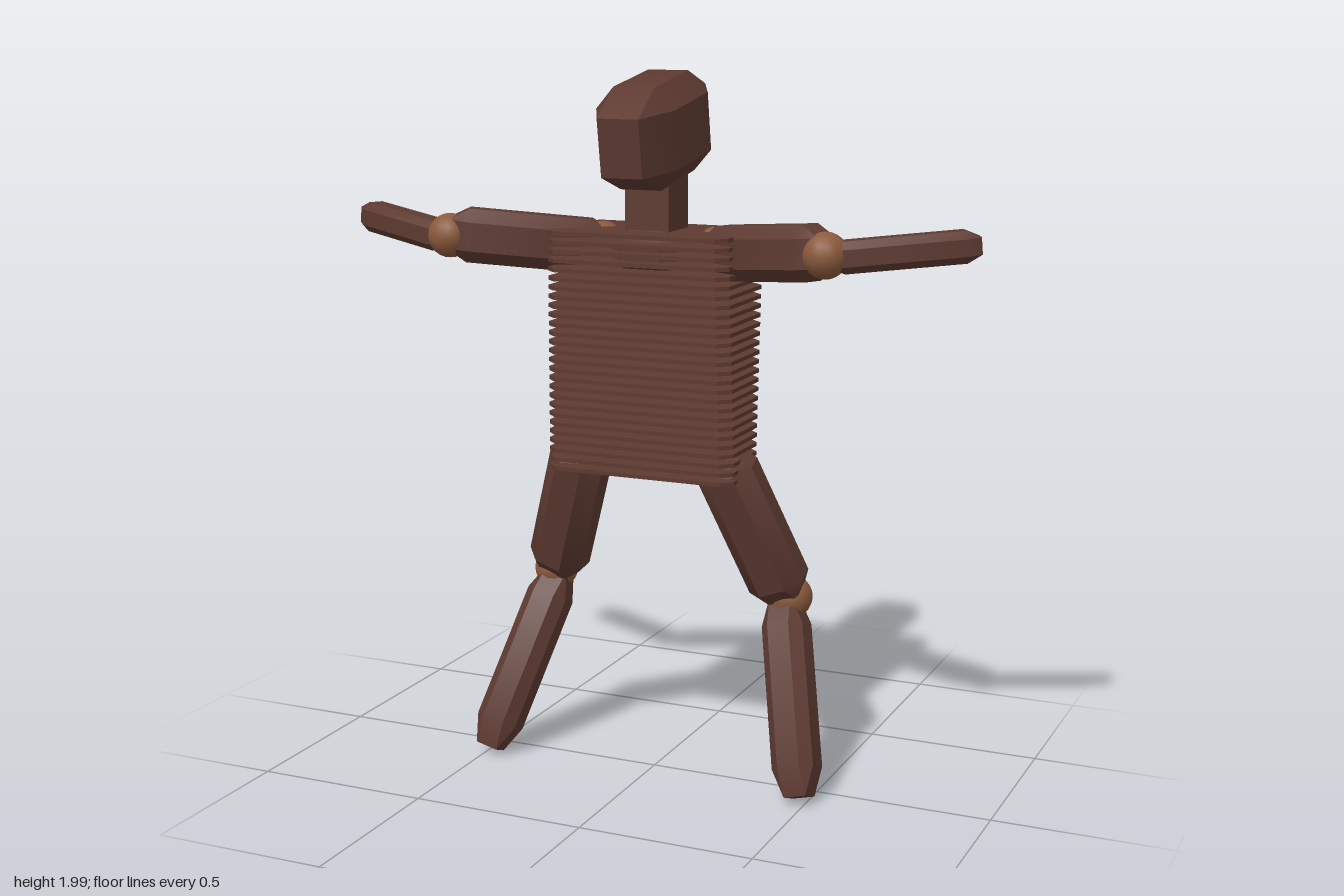
import * as THREE from 'three';
import { ConvexGeometry } from 'three/addons/geometries/ConvexGeometry.js';
import { toCreasedNormals } from 'three/addons/utils/BufferGeometryUtils.js';

const wood = new THREE.MeshStandardMaterial({ color: 0x5d3a31 });
const jointWood = new THREE.MeshStandardMaterial({ color: 0x8b5a3c });
const V = (x, y, z) => new THREE.Vector3(x, y, z);

// Box with bevelled edges: half sizes (W,H,D), and the half sizes (w,h,d) of its flat faces
function bevelledBox(W, H, D, w, h, d) {
  const points = [];
  for (const i of [-1, 1]) for (const j of [-1, 1]) for (const k of [-1, 1]) {
    points.push(V(i * W, j * h, k * d), V(i * w, j * H, k * d), V(i * w, j * h, k * D));
  }
  return toCreasedNormals(new ConvexGeometry(points), 0.6);
}

function add(parent, name, geometry, material = wood) {
  const mesh = new THREE.Mesh(geometry, material);
  mesh.name = name;
  parent.add(mesh);
  return mesh;
}

// Bevelled bar from a to b; depth is measured towards the side vector
function bar(parent, name, a, b, width, depth, side, bevel, endBevel) {
  const along = b.clone().sub(a);
  const W = width / 2, D = depth / 2, H = along.length() / 2;
  const mesh = add(parent, name, bevelledBox(W, H, D, W - bevel, H - endBevel, D - bevel));
  along.normalize();
  const x = along.clone().cross(side).normalize();
  const z = x.clone().cross(along);
  mesh.quaternion.setFromRotationMatrix(new THREE.Matrix4().makeBasis(x, along, z));
  mesh.position.copy(a).add(b).multiplyScalar(0.5);
}

function ball(parent, name, centre, radius) {
  add(parent, name, new THREE.SphereGeometry(radius, 16, 12), jointWood).position.copy(centre);
}

// Thin horizontal slat with cut corners
function slat(halfWidth, front, back, thickness) {
  const c = 0.03;
  const shape = new THREE.Shape([
    [halfWidth - c, -front], [halfWidth, c - front], [halfWidth, -back - c], [halfWidth - c, -back],
    [c - halfWidth, -back], [-halfWidth, -back - c], [-halfWidth, c - front], [c - halfWidth, -front],
  ].map(([x, y]) => new THREE.Vector2(x, y)));
  return new THREE.ExtrudeGeometry(shape, { depth: thickness, bevelEnabled: false }).rotateX(-Math.PI / 2);
}

export function createModel() {
  const model = new THREE.Group();
  model.name = 'woodenFigure';

  // Head and neck
  const head = add(model, 'head', bevelledBox(0.115, 0.14, 0.23, 0.06, 0.08, 0.115));
  head.position.set(0, 1.835, 0);
  head.rotation.x = 0.165;
  add(model, 'neck', new THREE.BoxGeometry(0.13, 0.16, 0.135)).position.set(0, 1.63, -0.015);

  // Chest hub and spine
  add(model, 'chestHub', bevelledBox(0.11, 0.065, 0.11, 0.055, 0.025, 0.055)).position.set(0, 1.505, -0.01);
  add(model, 'spine', new THREE.BoxGeometry(0.036, 0.6, 0.032)).position.set(0, 1.19, 0.02);

  // Torso of stacked slats, deeper towards the shoulders
  const torso = new THREE.Group();
  torso.name = 'torso';
  model.add(torso);
  const count = 27;
  for (let i = 0; i < count; i++) {
    const t = i / (count - 1);
    const mix = THREE.MathUtils.lerp;
    const geometry = slat(mix(0.28, 0.268, t), mix(0.127, 0.15, t), mix(-0.097, -0.165, t), 0.011);
    add(torso, 'slat', geometry).position.y = mix(0.885, 1.551, t);
  }

  // Limbs, mirrored left and right
  for (const s of [1, -1]) {
    const arm = new THREE.Group();
    arm.name = s > 0 ? 'leftArm' : 'rightArm';
    const leg = new THREE.Group();
    leg.name = s > 0 ? 'leftLeg' : 'rightLeg';
    model.add(arm, leg);
    const P = (x, y, z) => V(s * x, y, z);
    const up = V(0, 1, 0), front = V(0, 0, 1);

    ball(arm, 'shoulder', P(0.172, 1.515, -0.035), 0.06);
    bar(arm, 'upperArm', P(0.15, 1.5, -0.045), P(0.56, 1.545, 0.165), 0.13, 0.15, up, 0.035, 0.06);
    ball(arm, 'elbow', P(0.553, 1.537, 0.16), 0.062);
    bar(arm, 'forearm', P(0.56, 1.53, 0.16), P(0.92, 1.565, 0.0), 0.085, 0.085, up, 0.02, 0.04);

    bar(leg, 'thigh', P(0.205, 0.96, 0.025), P(0.365, 0.52, -0.105), 0.17, 0.15, front, 0.045, 0.06);
    ball(leg, 'knee', P(0.37, 0.525, -0.115), 0.064);
    bar(leg, 'shin', P(0.355, 0.52, -0.11), P(0.485, 0.02, 0.105), 0.125, 0.125, front, 0.03, 0.08);
  }
  return model;
}
